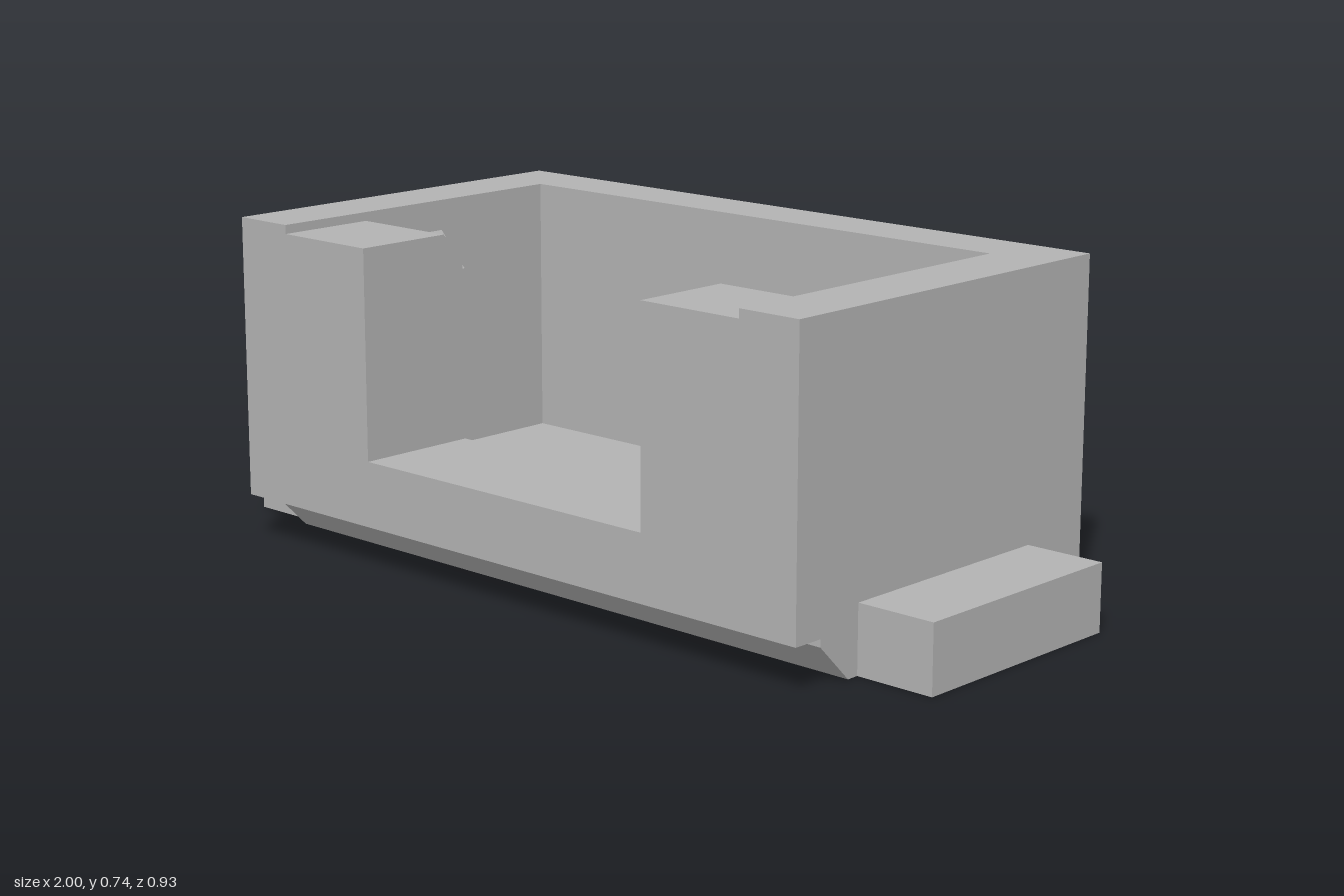
import * as THREE from 'three';

export function createModel() {
  const model = new THREE.Group();
  model.name = 'connectorHousing';
  const grey = new THREE.MeshStandardMaterial({ color: 0xb2b2b2 });
  grey.name = 'housing grey';

  function add(name, geometry) {
    const mesh = new THREE.Mesh(geometry, grey);
    mesh.name = name;
    model.add(mesh);
  }

  // Box given by its limits on each axis
  function block(name, [x0, x1], [y0, y1], [z0, z1]) {
    const g = new THREE.BoxGeometry(x1 - x0, y1 - y0, z1 - z0);
    g.translate((x0 + x1) / 2, (y0 + y1) / 2, (z0 + z1) / 2);
    add(name, g);
  }

  function prism(points, depth) {
    const shape = new THREE.Shape(points.map(([u, v]) => new THREE.Vector2(u, v)));
    return new THREE.ExtrudeGeometry(shape, { depth, bevelEnabled: false });
  }

  // Side profile of (z, y) points swept along x
  function sweepX(name, points, [x0, x1]) {
    const g = prism(points.map(([z, y]) => [-z, y]), x1 - x0);
    g.rotateY(Math.PI / 2);
    g.translate(x0, 0, 0);
    add(name, g);
  }

  const W = 0.815, D = 0.463, H = 0.74; // outer half width, half depth, height
  const inW = 0.665, floorY = 0.154, backZ = -0.32, frontZ = 0.175; // cavity
  const gap = 0.408; // half width of the front opening
  const span = (a, b, s) => (s > 0 ? [a, b] : [-b, -a]);

  // Base with the relieved lower front edge
  sweepX('base', [
    [-D, 0], [0.305, 0], [0.39, 0.085], [0.39, 0.102],
    [D, 0.102], [D, floorY], [-D, floorY],
  ], [-W, W]);

  block('backWall', [-W, W], [floorY, H], [-D, backZ]);
  block('frontSill', [-gap, gap], [floorY, 0.25], [frontZ, D]);

  for (const s of [1, -1]) {
    const side = s > 0 ? 'left' : 'right';
    block(side + 'Wall', span(inW, W, s), [floorY, H], [backZ, D]);
    block(side + 'MountingTab', span(W, 1, s), [0, 0.15], [-0.277, 0.277]);

    // Front post with a chamfered inner top edge
    sweepX(side + 'FrontPost', [
      [frontZ, floorY], [D, floorY], [D, 0.72], [0.23, 0.72], [frontZ, 0.667],
    ], span(gap, inW, s));

    // Guide rib on the inner wall with a sloped top
    const rib = prism([
      [s * 0.59, floorY], [s * inW, floorY], [s * inW, 0.67], [s * 0.59, 0.59],
    ], 0.105);
    add(side + 'GuideRib', rib);
  }

  return model;
}
